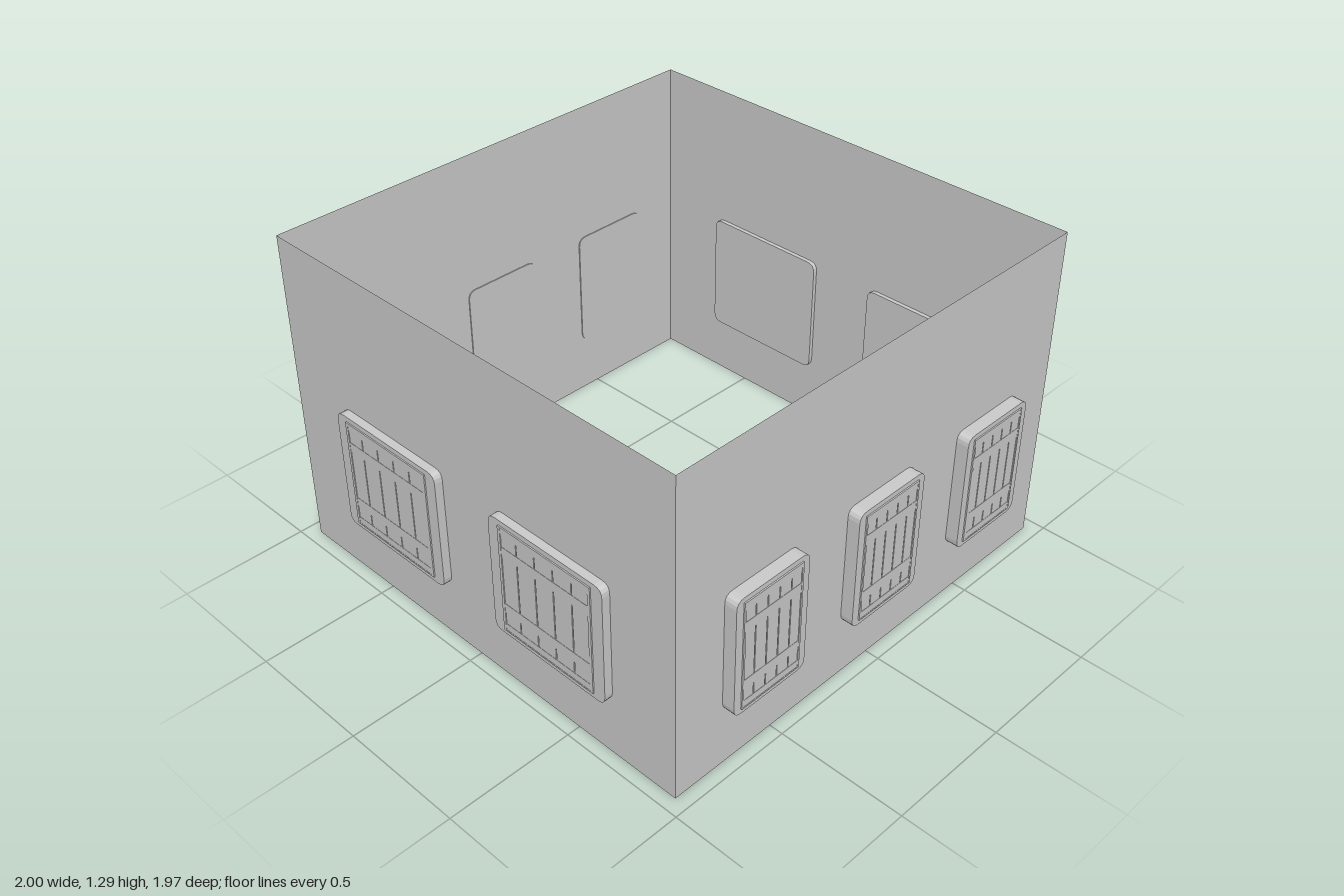
import * as THREE from 'three';

const material = new THREE.MeshStandardMaterial({ color: 0xcccccc, flatShading: true });
const wallMaterial = new THREE.MeshStandardMaterial({ color: 0xcccccc, side: THREE.DoubleSide });

const WALL_X = 0.945, WALL_Z = 0.947, WALL_H = 1.29;
const WIN_Y = 0.478, WIN_H = 0.485;

function add(parent, name, geometry, x = 0, y = 0, z = 0, mat = material) {
  const mesh = new THREE.Mesh(geometry, mat);
  mesh.name = name;
  mesh.position.set(x, y, z);
  parent.add(mesh);
  return mesh;
}

// Rounded rectangle centred on the origin
function roundedRect(w, h, r) {
  const s = new THREE.Shape(), x = w / 2, y = h / 2;
  s.moveTo(-x + r, -y);
  s.lineTo(x - r, -y);
  s.quadraticCurveTo(x, -y, x, -y + r);
  s.lineTo(x, y - r);
  s.quadraticCurveTo(x, y, x - r, y);
  s.lineTo(-x + r, y);
  s.quadraticCurveTo(-x, y, -x, y - r);
  s.lineTo(-x, -y + r);
  s.quadraticCurveTo(-x, -y, -x + r, -y);
  return s;
}

// Window facing +z; its origin lies in the wall plane
function makeWindow(width) {
  const g = new THREE.Group();
  g.name = 'window';
  const k = width / 0.53;
  const pw = 0.43 * k, ph = 0.445;
  const back = -0.017, face = 0.033;

  // Surround, showing on both sides of the wall
  const surround = new THREE.ExtrudeGeometry(roundedRect(width, WIN_H, 0.035), {
    depth: face - back, bevelEnabled: false, curveSegments: 4,
  });
  add(g, 'windowSurround', surround, 0, 0, back);

  // Slim raised rim around the panel
  const rim = roundedRect(pw, ph, 0.001);
  rim.holes.push(roundedRect(pw - 0.024 * k, ph - 0.012, 0.001));
  add(g, 'panelRim', new THREE.ExtrudeGeometry(rim, { depth: 0.006, bevelEnabled: false, curveSegments: 1 }), 0, 0, face - 0.001);

  // Five upright boards with narrow joints
  const step = pw / 5;
  for (let i = -2; i <= 2; i++) {
    const end = Math.abs(i) === 2 ? 0.012 * k : 0;
    const board = new THREE.BoxGeometry(step - 0.004 - end, ph - 0.012, 0.004);
    add(g, 'board', board, i * step - Math.sign(i) * end / 2, 0, face + 0.001);
  }

  // Cross battens, and end rails at top and bottom
  for (const side of [-1, 1]) {
    add(g, 'batten', new THREE.BoxGeometry(pw - 0.024 * k, 0.04, 0.004), 0, side * 0.121, face + 0.002);
    add(g, 'endRail', new THREE.BoxGeometry(pw - 0.024 * k, 0.028, 0.004), 0, side * 0.203, face + 0.002);
  }
  return g;
}

export function createModel() {
  const model = new THREE.Group();
  model.name = 'building';

  for (const s of [1, -1]) {
    // Open-topped shell of thin walls
    add(model, s > 0 ? 'frontWall' : 'backWall', new THREE.PlaneGeometry(WALL_X * 2, WALL_H),
      0, WALL_H / 2, s * WALL_Z, wallMaterial).rotation.y = s > 0 ? 0 : Math.PI;
    add(model, s > 0 ? 'leftWall' : 'rightWall', new THREE.PlaneGeometry(WALL_Z * 2, WALL_H),
      s * WALL_X, WALL_H / 2, 0, wallMaterial).rotation.y = s * Math.PI / 2;

    // Two wide windows on the front and back
    for (const x of [-0.4, 0.4]) {
      const win = makeWindow(0.53);
      win.position.set(x, WIN_Y, s * WALL_Z);
      win.rotation.y = s > 0 ? 0 : Math.PI;
      model.add(win);
    }

    // Three narrow windows on each side
    for (const z of [0.568, -0.01, -0.587]) {
      const win = makeWindow(0.335);
      win.position.set(s * (WALL_X + 0.014), WIN_Y, z);
      win.rotation.y = s * Math.PI / 2;
      win.scale.z = 1.07;
      model.add(win);
    }
  }
  return model;
}
